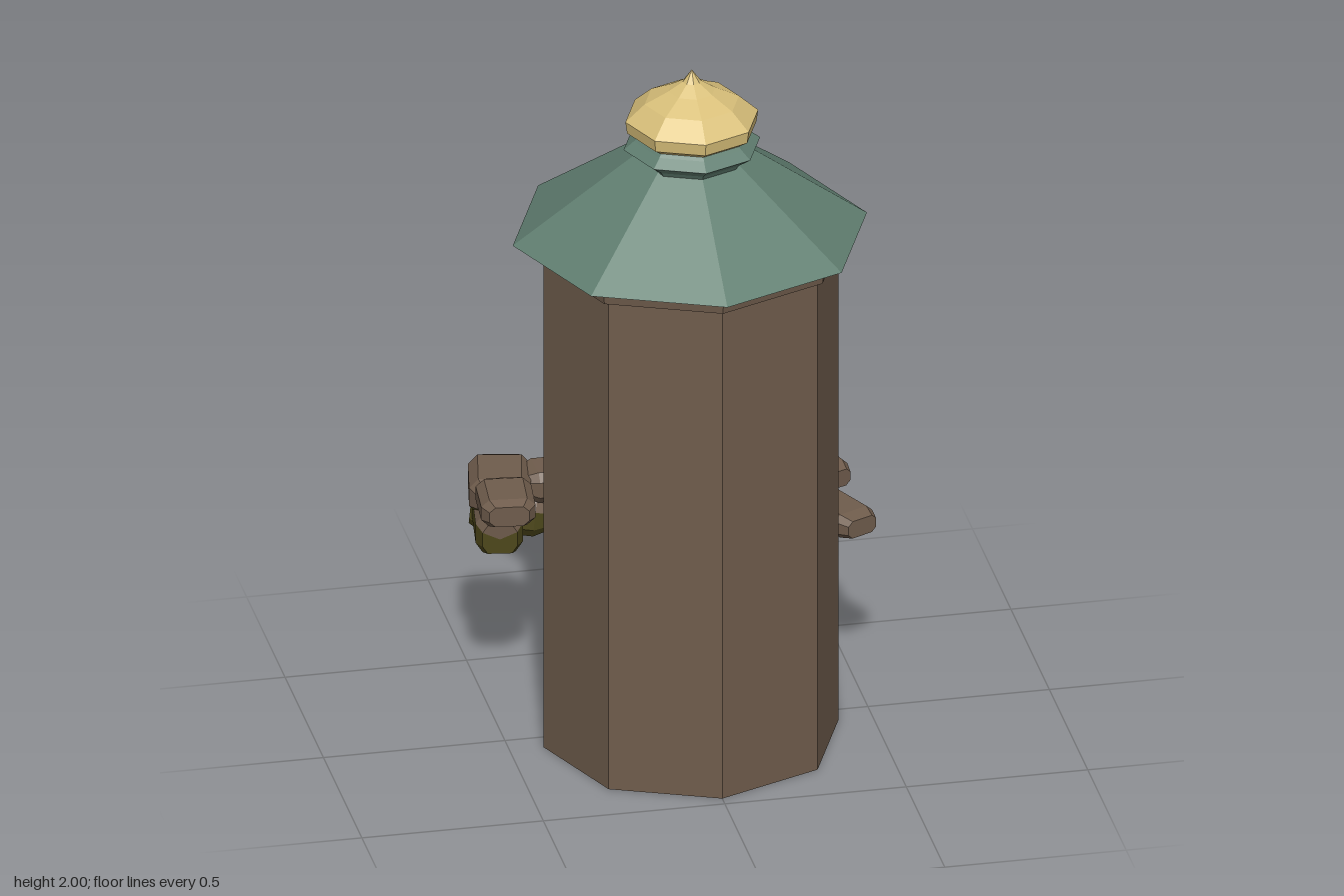
import * as THREE from 'three';

const mat = (name, color) => {
  const m = new THREE.MeshStandardMaterial({ color, flatShading: true, side: THREE.DoubleSide });
  m.name = name;
  return m;
};

export function createModel() {
  const brown = mat('brownStone', 0x6f5c4c);
  const green = mat('greenRoof', 0x617f71);
  const gold = mat('gold', 0xd9c07a);
  const olive = mat('oliveMoss', 0x4e481b);

  const model = new THREE.Group();
  const add = (name, geo, material, x = 0, y = 0, z = 0) => {
    const mesh = new THREE.Mesh(geo, material);
    mesh.name = name;
    mesh.position.set(x, y, z);
    model.add(mesh);
    return mesh;
  };
  const lathe = (pts, sides = 8, start = 0) => new THREE.LatheGeometry(
    pts.map(([r, y]) => new THREE.Vector2(r, y)), sides, start, sides * Math.PI / 4);
  const shapeOf = (pts) => new THREE.Shape(pts.map(([x, y]) => new THREE.Vector2(x, y)));

  const R = 0.407, H = 1.48, CZ = 0.06;

  // Six closed sides of the octagonal tower, a thin open shell
  add('towerWalls', lathe([[R, 0], [R, H]], 6, -0.75 * Math.PI), brown, 0, 0, CZ);

  // Narrower room behind the doorway, open at the bottom, with a flat ceiling
  const room = [[0.2, -0.24], [0.225, -0.2], [0.265, 0.16], [0.055, 0.29], [-0.245, 0.21], [-0.225, -0.2], [-0.2, -0.24]];
  const top = 1.24, strip = [];
  for (let i = 0; i < room.length - 1; i++) {
    const [ax, az] = room[i], [bx, bz] = room[i + 1];
    strip.push(ax, 0, az, bx, top, bz, bx, 0, bz, ax, 0, az, ax, top, az, bx, top, bz);
  }
  const roomWalls = new THREE.BufferGeometry();
  roomWalls.setAttribute('position', new THREE.Float32BufferAttribute(strip, 3));
  roomWalls.computeVertexNormals();
  add('roomWalls', roomWalls, brown);
  const ceiling = new THREE.ShapeGeometry(shapeOf([...room, [0, -0.31]]));
  ceiling.rotateX(Math.PI / 2);
  add('roomCeiling', ceiling, brown, 0, top, 0);

  // Two rear sides with half of the doorway each, plus the raised door frame
  const W = 2 * R * Math.sin(Math.PI / 8);
  const inner = [[0, 1.25], [0.07, 1.235], [0.14, 1.17], [0.185, 1.08], [0.2, 0.98], [0.2, 0]];
  const outer = [[0.285, 0], [0.285, 1.08], [0.26, 1.19], [0.2, 1.28], [0.1, 1.345], [0, 1.36]];
  const lap = (pts) => pts.map(([u, y]) => [u === 0 ? -0.008 : u, y]);
  for (const s of [1, -1]) {
    const panel = (name, pts, depth, offset) => {
      const geo = new THREE.ExtrudeGeometry(shapeOf(pts.map(([u, y]) => [u * s, y])), { depth, bevelEnabled: false });
      geo.translate(0, 0, offset);
      add(name, geo, brown, 0, 0, CZ - R).rotation.y = Math.PI + s * Math.PI / 8;
    };
    panel('rearWall', [...inner, [W, 0], [W, H], [0, H]], 0.02, -0.02);
    panel('doorFrame', lap([...inner, ...outer]), 0.05, -0.03);
  }

  // Cornice and roof
  add('cornice', lathe([[0.39, 1.455], [0.425, 1.462], [0.432, 1.51], [0.39, 1.515]]), brown, 0, 0, 0.052);
  add('roof', lathe([[0, 1.49], [0.4, 1.495], [0.488, 1.508], [0.155, 1.745], [0, 1.75]]), green, 0, 0, 0.045);
  add('roofCollar', lathe([[0.14, 1.735], [0.15, 1.75], [0.188, 1.777], [0.16, 1.8], [0.14, 1.82]]), green, 0, 0, 0.07);

  // Gold onion finial
  add('finial', lathe([[0, 1.805], [0.15, 1.808], [0.178, 1.826], [0.183, 1.86], [0.13, 1.908],
    [0.065, 1.94], [0.025, 1.965], [0, 2]]), gold, 0, 0, 0.07);

  // Chamfered stone block, long along its local z; faces below the moss level are olive
  const block = (name, [x, y, z], [w, h, l], yaw, tilt, moss) => {
    const section = [[1, 0.5], [0.7, 1], [-0.7, 1], [-1, 0.5], [-1, -0.5], [-0.7, -1], [0.7, -1], [1, -0.5]];
    const rings = [[-0.5, 0.75], [-0.36, 1], [0.34, 0.98], [0.5, 0.72]];
    const P = rings.map(([t, k]) => section.map(([a, b]) => [a * k * w / 2, b * k * h / 2, t * l]));
    const upper = [], lower = [];
    const tri = (a, b, c) => {
      const low = a[1] + b[1] + c[1] < h * moss;
      (low ? lower : upper).push(...a, ...b, ...c);
    };
    for (let i = 0; i < 8; i++) {
      const j = (i + 1) % 8;
      for (let r = 0; r < 3; r++) {
        tri(P[r][i], P[r][j], P[r + 1][j]);
        tri(P[r][i], P[r + 1][j], P[r + 1][i]);
      }
      tri([0, 0, -l / 2], P[0][j], P[0][i]);
      tri([0, 0, l / 2], P[3][i], P[3][j]);
    }
    const geo = new THREE.BufferGeometry();
    geo.setAttribute('position', new THREE.Float32BufferAttribute([...upper, ...lower], 3));
    geo.addGroup(0, upper.length / 3, 0);
    geo.addGroup(upper.length / 3, lower.length / 3, 1);
    geo.computeVertexNormals();
    add(name, geo, [brown, olive], x, y, z).rotation.set(tilt, yaw, 0, 'YXZ');
  };

  // Broken stone clusters beside the doorway
  const BARE = -9, UNDER = -0.3, SIDES = 0.3;
  const stones = [
    // +x side
    ['stone', [0.32, 0.6, -0.44], [0.16, 0.09, 0.25], 1.75, 0, UNDER],
    ['stone', [0.17, 0.585, -0.4], [0.11, 0.075, 0.2], 2.05, 0.1, BARE],
    ['stone', [0.405, 0.61, -0.28], [0.12, 0.07, 0.24], 0.4, 0.05, BARE],
    ['stone', [0.45, 0.495, -0.205], [0.13, 0.07, 0.25], 0.45, 0, BARE],
    ['mossyStone', [0.35, 0.505, -0.43], [0.16, 0.12, 0.23], 1.8, 0.1, SIDES],
    ['stone', [0.41, 0.56, -0.42], [0.1, 0.08, 0.18], 0.2, 0.1, UNDER],
    // -x side
    ['stone', [-0.435, 0.58, -0.375], [0.17, 0.11, 0.21], -0.2, 0, UNDER],
    ['stone', [-0.455, 0.615, -0.2], [0.15, 0.08, 0.18], -0.1, 0, BARE],
    ['stone', [-0.265, 0.58, -0.385], [0.13, 0.09, 0.2], 1.6, 0, BARE],
    ['stone', [-0.13, 0.57, -0.385], [0.11, 0.08, 0.14], 1.65, 0.1, BARE],
    ['mossyStone', [-0.455, 0.515, -0.31], [0.13, 0.12, 0.24], -0.15, 0.05, SIDES],
    ['mossyStone', [-0.4, 0.49, -0.41], [0.13, 0.11, 0.21], 1.3, 0.1, SIDES],
  ];
  stones.forEach((s) => block(...s));

  return model;
}
